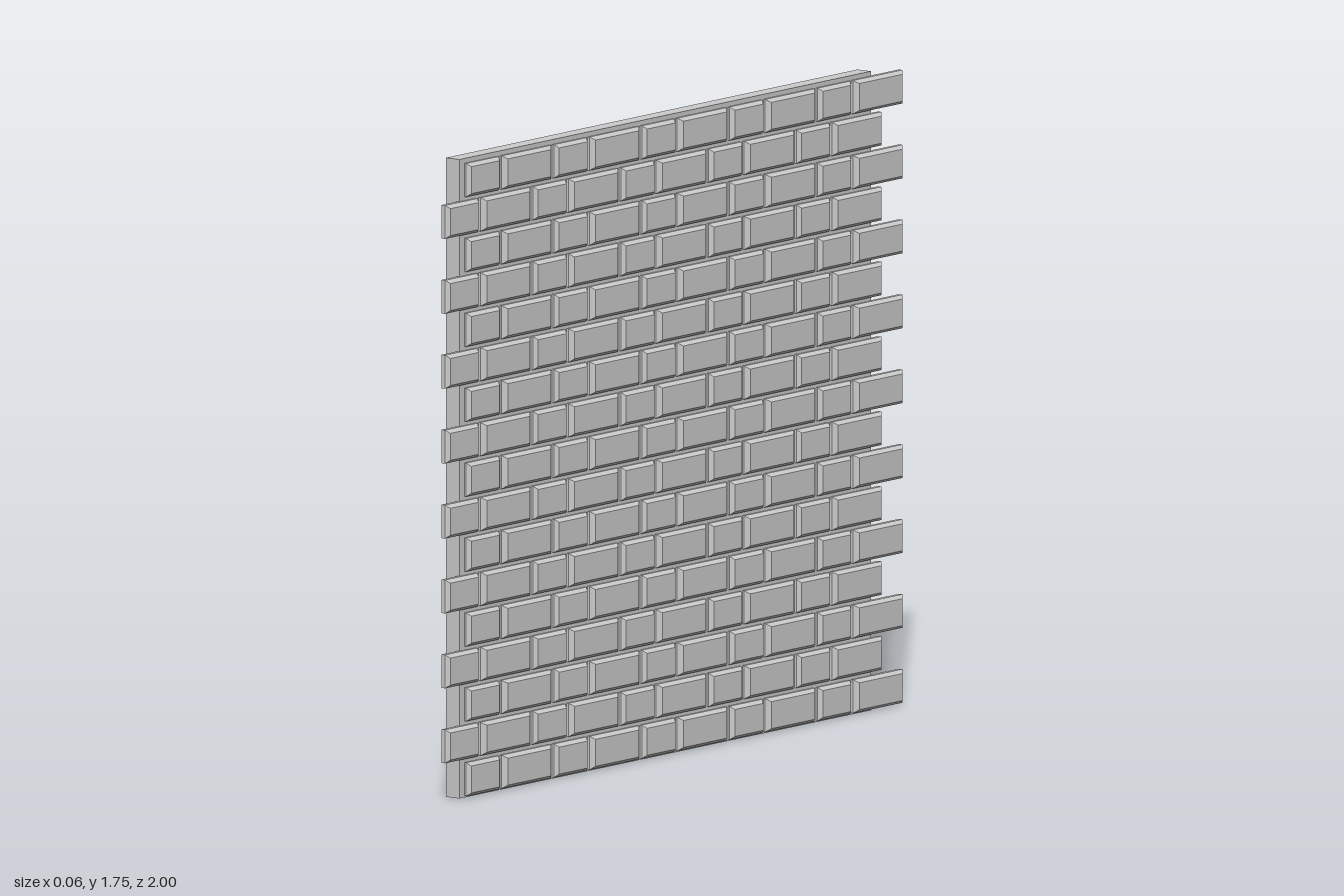
import * as THREE from 'three';

const material = new THREE.MeshStandardMaterial({ color: 0xcccccc, flatShading: true });

const BACK = 0.008, FACE = 0.031;      // brick depth range along x
const HEIGHT = 0.092, COURSE = 0.1028; // brick height and course spacing
const HEADER = 0.142, STRETCHER = 0.2162, JOINT = 0.013;

// Brick with a chamfered outer (+x) face; bevel grows with the brick's length
function brickGeometry(length) {
  const depth = FACE - BACK;
  const g = new THREE.BoxGeometry(depth, HEIGHT, length, 2, 1, 1);
  const p = g.attributes.position;
  const bevelY = 0.009, bevelZ = 0.009 * length / HEADER;
  for (let i = 0; i < p.count; i++) {
    const x = p.getX(i);
    if (x > depth * 0.4) {
      p.setY(i, p.getY(i) - Math.sign(p.getY(i)) * bevelY);
      p.setZ(i, p.getZ(i) - Math.sign(p.getZ(i)) * bevelZ);
    } else if (Math.abs(x) < 1e-5) {
      p.setX(i, depth / 2 - 0.011);
    }
  }
  g.computeVertexNormals();
  return g;
}

export function createModel() {
  const wall = new THREE.Group();
  wall.name = 'brickWall';

  // Backing slab
  const slab = new THREE.Mesh(new THREE.BoxGeometry(0.046, 1.754, 1.8), material);
  slab.name = 'backingSlab';
  slab.position.set(-0.009, 0.877, 0.03);
  wall.add(slab);

  // Alternating header and stretcher bricks, every other course shifted
  const header = brickGeometry(HEADER), stretcher = brickGeometry(STRETCHER);
  for (let row = 0; row < 17; row++) {
    const course = new THREE.Group();
    course.name = 'brickCourse' + (row + 1);
    let z = row % 2 ? 1 : 0.908;
    for (let i = 0; i < 10; i++) {
      const long = i % 2 === 1;
      const length = long ? STRETCHER : HEADER;
      const brick = new THREE.Mesh(long ? stretcher : header, material);
      brick.name = long ? 'stretcherBrick' : 'headerBrick';
      brick.position.set((BACK + FACE) / 2, 0.05 + row * COURSE, z - length / 2);
      course.add(brick);
      z -= length + JOINT;
    }
    wall.add(course);
  }
  return wall;
}
